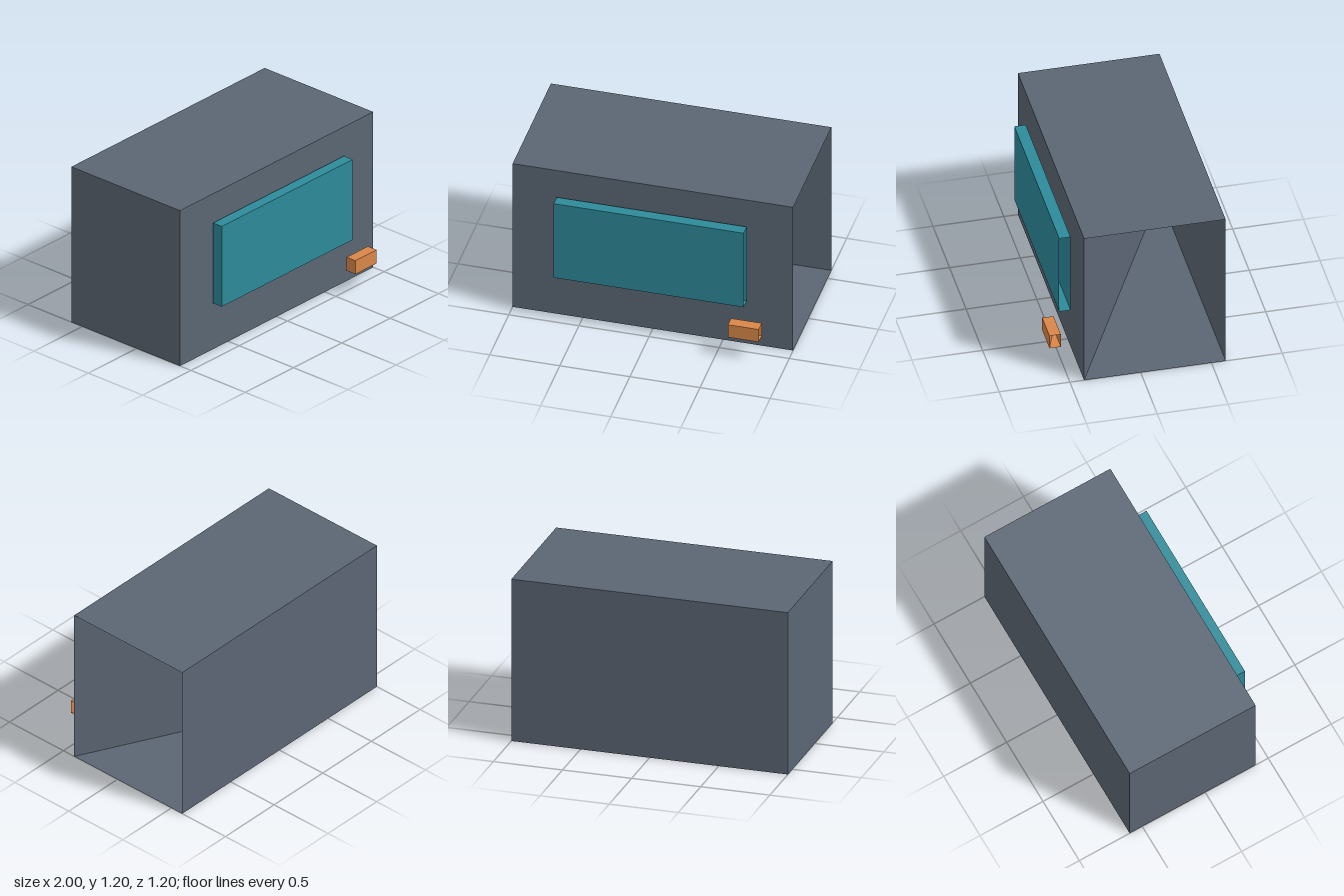
import * as THREE from 'three';

// Corner number bits: 1 = +x, 2 = +y, 4 = +z
const WALLS = [
  4, 5, 7, 4, 7, 6, // front
  1, 0, 2, 1, 2, 3, // back
  6, 7, 3, 6, 3, 2, // top
  0, 1, 5, 0, 5, 4, // bottom
  7, 5, 0,          // upright diagonal brace inside the open +x end
];
const END = [0, 4, 6, 0, 6, 2]; // closed -x end

function facets(min, max, corners) {
  const points = corners.map((c) => new THREE.Vector3(
    c & 1 ? max[0] : min[0],
    c & 2 ? max[1] : min[1],
    c & 4 ? max[2] : min[2],
  ));
  const geometry = new THREE.BufferGeometry().setFromPoints(points);
  geometry.computeVertexNormals();
  return geometry;
}

// Box open at its +x end: two-sided walls, and an end seen only from outside
function openBox(name, color, min, max) {
  const box = new THREE.Group();
  box.name = name;
  const walls = new THREE.Mesh(
    facets(min, max, WALLS),
    new THREE.MeshStandardMaterial({ color, side: THREE.DoubleSide }),
  );
  walls.name = name + 'Walls';
  const end = new THREE.Mesh(facets(min, max, END), new THREE.MeshStandardMaterial({ color }));
  end.name = name + 'End';
  box.add(walls, end);
  return box;
}

export function createModel() {
  const model = new THREE.Group();
  model.name = 'panelBox';
  model.add(
    openBox('housing', 0x5b6674, [-1, 0, -0.6], [1, 1.2, 0.4]),
    openBox('screen', 0x2d8a9a, [-0.68, 0.37, 0.42], [0.675, 0.99, 0.5]),
    openBox('button', 0xd98648, [0.59, 0.17, 0.52], [0.81, 0.275, 0.6]),
  );
  return model;
}
